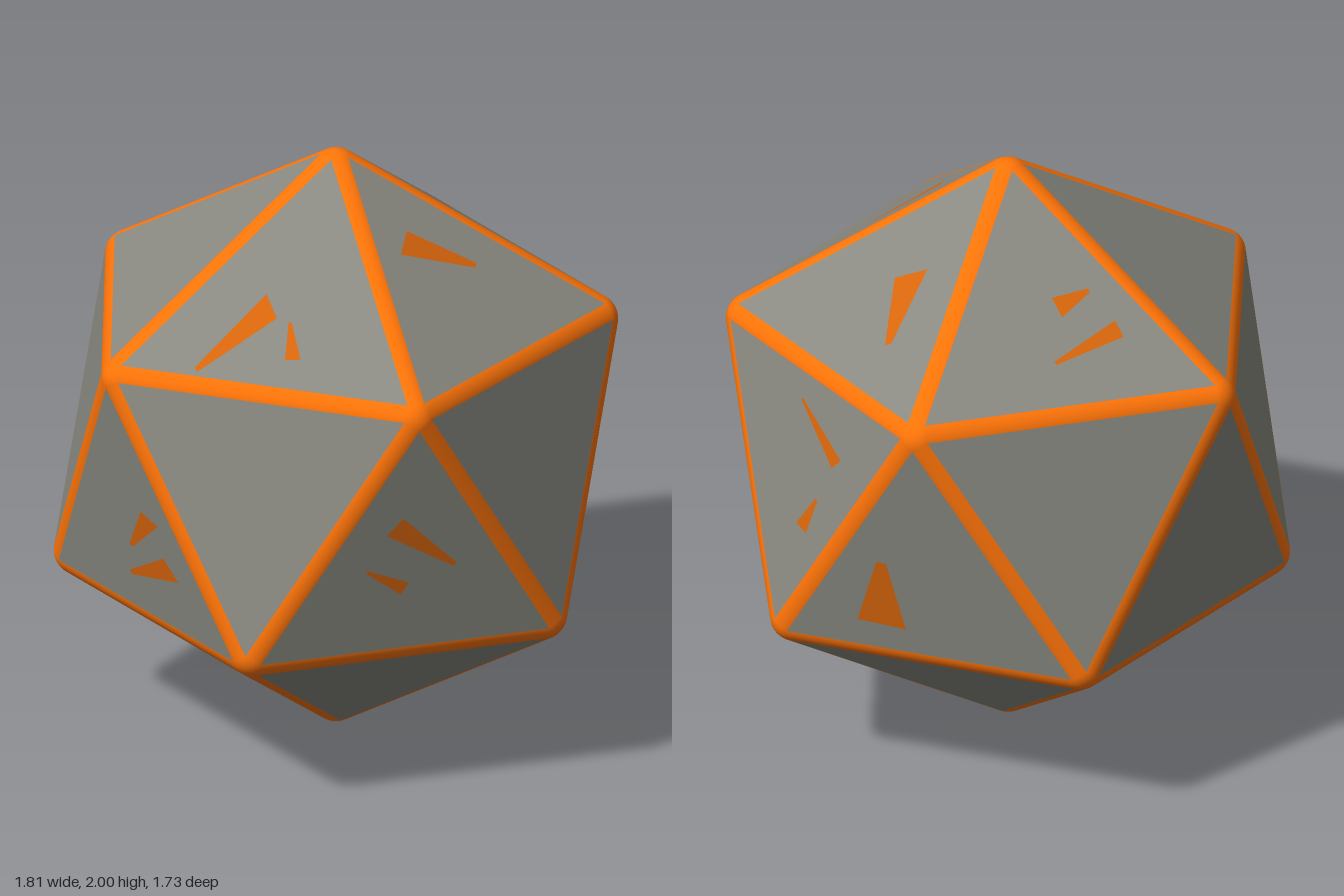
import * as THREE from 'three';

const CORE = 0.92;   // circumradius of the core solid
const ROUND = 0.08;  // fillet radius of edges and corners
const LIFT = 0.002;  // marks sit just above the faces
const V = (x, y, z) => new THREE.Vector3(x, y, z);

// Icosahedron corners: two poles and two staggered rings of five
function corners() {
  const list = [V(0, CORE, 0), V(0, -CORE, 0)];
  const h = CORE / Math.sqrt(5);
  for (let i = 0; i < 5; i++) {
    const a = (i * Math.PI * 2) / 5;
    list.push(V(2 * h * Math.cos(a), h, 2 * h * Math.sin(a)));
    list.push(V(-2 * h * Math.cos(a), -h, -2 * h * Math.sin(a)));
  }
  return list;
}

// Tapered chips on three sides: tip, base and base width in the side's plane
const frontChips = [
  [-.44, 1.49, -.2, 1.65, .06], [-.14, 1.62, -.13, 1.54, .05], [.45, 1.67, .22, 1.78, .04],
  [.39, .87, .2, 1.04, .08], [.11, .88, .23, .8, .05], [-.65, .7, -.52, .8, .08],
  [-.65, .81, -.59, .96, .06],
];
const sideChips = [
  [-.48, 1.58, -.26, 1.72, .06], [-.08, .99, -.08, .85, .07], [-.41, 1.34, -.61, 1.21, .05],
  [-.57, 1.06, -.54, .94, .05], [.15, .33, -.08, .23, .07], [-.73, .92, -.68, .67, .05],
];
const topChips = [[-.17, -.57, -.37, -.43, .05], [-.27, -.34, -.17, -.41, .06]];

// A tapered chip projected along axis w onto the outermost face under its middle
function chipGeometry([u, v, w], [x0, y0, x1, y1, width], normals, inradius) {
  const drop = v === 'y' ? CORE + ROUND : 0;
  const tip = new THREE.Vector2(x0, y0 - drop);
  const base = new THREE.Vector2(x1, y1 - drop);
  const across = base.clone().sub(tip).normalize().rotateAround(new THREE.Vector2(), Math.PI / 2);
  const outline = [[tip, -0.1], [tip, 0.1], [base, 0.5], [base, -0.5]]
    .map(([p, k]) => p.clone().addScaledVector(across, k * width));
  const middle = tip.clone().lerp(base, 0.5);
  const depth = (n, p) => (inradius + LIFT - n[u] * p.x - n[v] * p.y) / n[w];
  const face = normals.filter(n => n[w] > 0.05)
    .reduce((best, n) => (depth(n, middle) < depth(best, middle) ? n : best));
  const geometry = new THREE.BufferGeometry().setFromPoints(outline.map(p => {
    const point = V(0, 0, 0);
    point[u] = p.x;
    point[v] = p.y;
    point[w] = depth(face, p);
    return point;
  }));
  geometry.setIndex([0, 1, 2, 0, 2, 3]);
  geometry.computeVertexNormals();
  return geometry;
}

export function createModel() {
  const group = new THREE.Group();
  group.name = 'twentySidedDie';
  const solid = new THREE.Group();
  solid.name = 'dieBody';
  solid.position.y = CORE + ROUND;
  group.add(solid);

  const grey = new THREE.MeshStandardMaterial({ color: 0x8a8a82 });
  const orange = new THREE.MeshStandardMaterial({ color: 0xff7408 });
  const chipPaint = new THREE.MeshStandardMaterial({ color: 0xd8660c, side: THREE.DoubleSide });
  const add = (name, geometry, material) => {
    const mesh = new THREE.Mesh(geometry, material);
    mesh.name = name;
    solid.add(mesh);
    return mesh;
  };

  const pts = corners();
  const edgeLength = pts[0].distanceTo(pts[2]);
  const joined = (a, b) => Math.abs(pts[a].distanceTo(pts[b]) - edgeLength) < 0.01;

  const normals = [];
  const facePositions = [];
  const arc = Math.acos(Math.sqrt(5) / 3); // angle between neighbouring face normals
  const rod = new THREE.CylinderGeometry(ROUND, ROUND, edgeLength, 10, 1, true, -arc / 2, arc);
  const ball = new THREE.SphereGeometry(ROUND, 32, 20);

  for (let a = 0; a < 12; a++) {
    // Rounded corner
    add('roundedCorner', ball, orange).position.copy(pts[a]);
    for (let b = a + 1; b < 12; b++) {
      if (!joined(a, b)) continue;
      // Rounded edge: an arc strip facing outward
      const along = pts[b].clone().sub(pts[a]).normalize();
      const middle = pts[a].clone().lerp(pts[b], 0.5);
      const out = middle.clone().normalize();
      const edge = add('roundedEdge', rod, orange);
      edge.quaternion.setFromRotationMatrix(
        new THREE.Matrix4().makeBasis(along.clone().cross(out), along, out));
      edge.position.copy(middle);
      // Flat triangular face, pushed out by the fillet radius
      for (let c = b + 1; c < 12; c++) {
        if (!joined(a, c) || !joined(b, c)) continue;
        const n = pts[a].clone().add(pts[b]).add(pts[c]).normalize();
        const turn = pts[b].clone().sub(pts[a]).cross(pts[c].clone().sub(pts[a]));
        const order = turn.dot(n) > 0 ? [a, b, c] : [a, c, b];
        normals.push(n);
        order.forEach(i => facePositions.push(...pts[i].clone().addScaledVector(n, ROUND)));
      }
    }
  }
  const faces = new THREE.BufferGeometry();
  faces.setAttribute('position', new THREE.Float32BufferAttribute(facePositions, 3));
  faces.computeVertexNormals();
  add('faces', faces, grey);

  // Chips on the faces
  const inradius = normals[0].dot(pts[0]) + ROUND;
  const addChips = (axes, chips) => chips.forEach(chip =>
    add('chip', chipGeometry(axes, chip, normals, inradius), chipPaint));
  addChips(['x', 'y', 'z'], frontChips);
  addChips(['z', 'y', 'x'], sideChips);
  addChips(['x', 'z', 'y'], topChips);
  return group;
}
